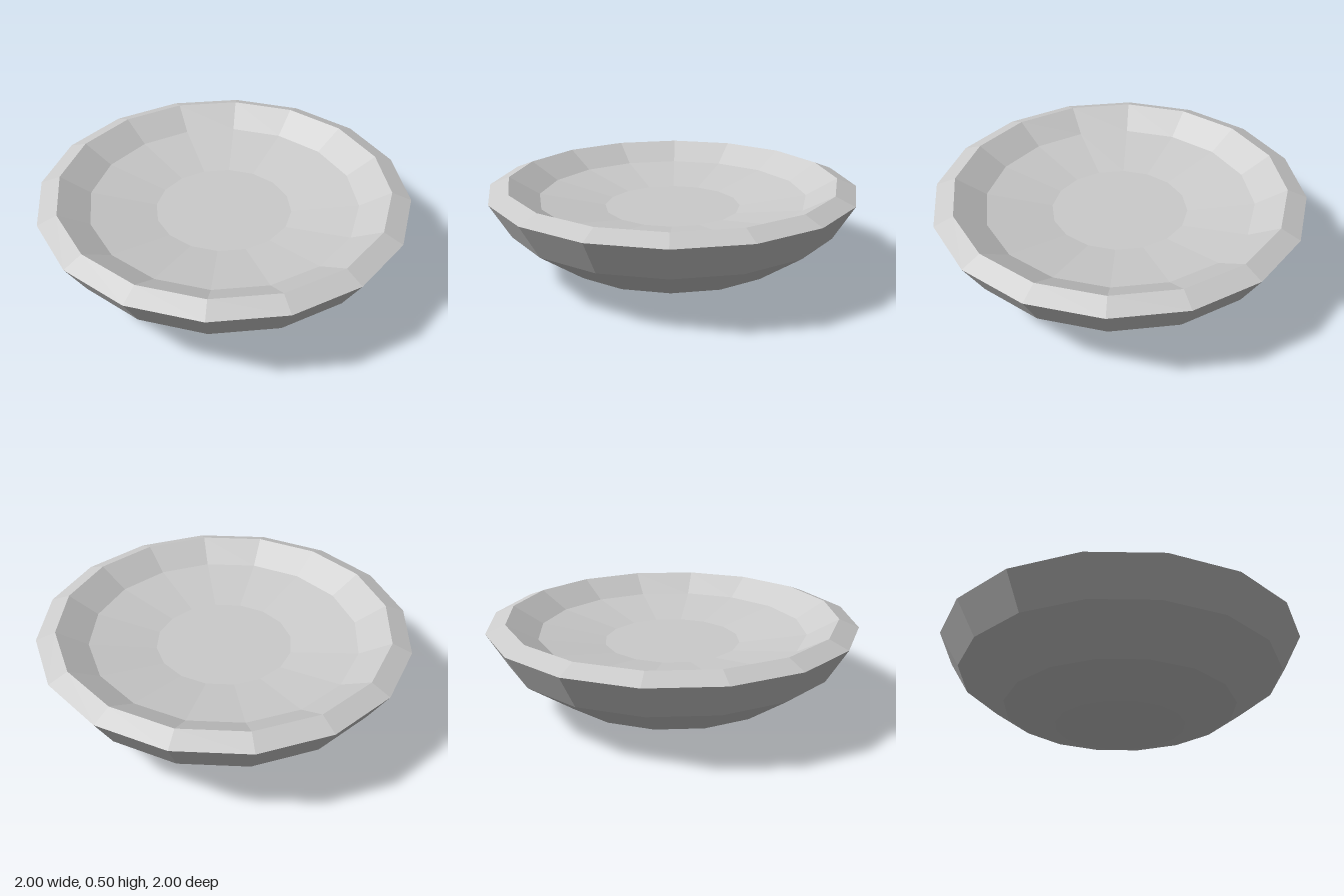
import * as THREE from 'three';

const SIDES = 16;

// Faceted solid of revolution from [radius, height] pairs
function facetedRing(name, profile, material) {
  const points = profile.map(([r, y]) => new THREE.Vector2(r, y));
  const mesh = new THREE.Mesh(new THREE.LatheGeometry(points, SIDES), material);
  mesh.name = name;
  return mesh;
}

export function createModel() {
  const group = new THREE.Group();
  group.name = 'bowl';
  const material = new THREE.MeshStandardMaterial({
    color: 0xcccccc, flatShading: true, side: THREE.DoubleSide,
  });

  // Outer shell, from the flat base up to the widest edge
  group.add(facetedRing('outerShell',
    [[0, 0], [0.355, 0], [0.635, 0.095], [0.89, 0.275], [1, 0.46]], material));

  // Sloping rim
  group.add(facetedRing('rim', [[1, 0.46], [0.895, 0.502]], material));

  // Shallow dished inside
  group.add(facetedRing('innerDish',
    [[0.895, 0.502], [0.73, 0.407], [0.37, 0.347], [0, 0.347]], material));

  return group;
}
